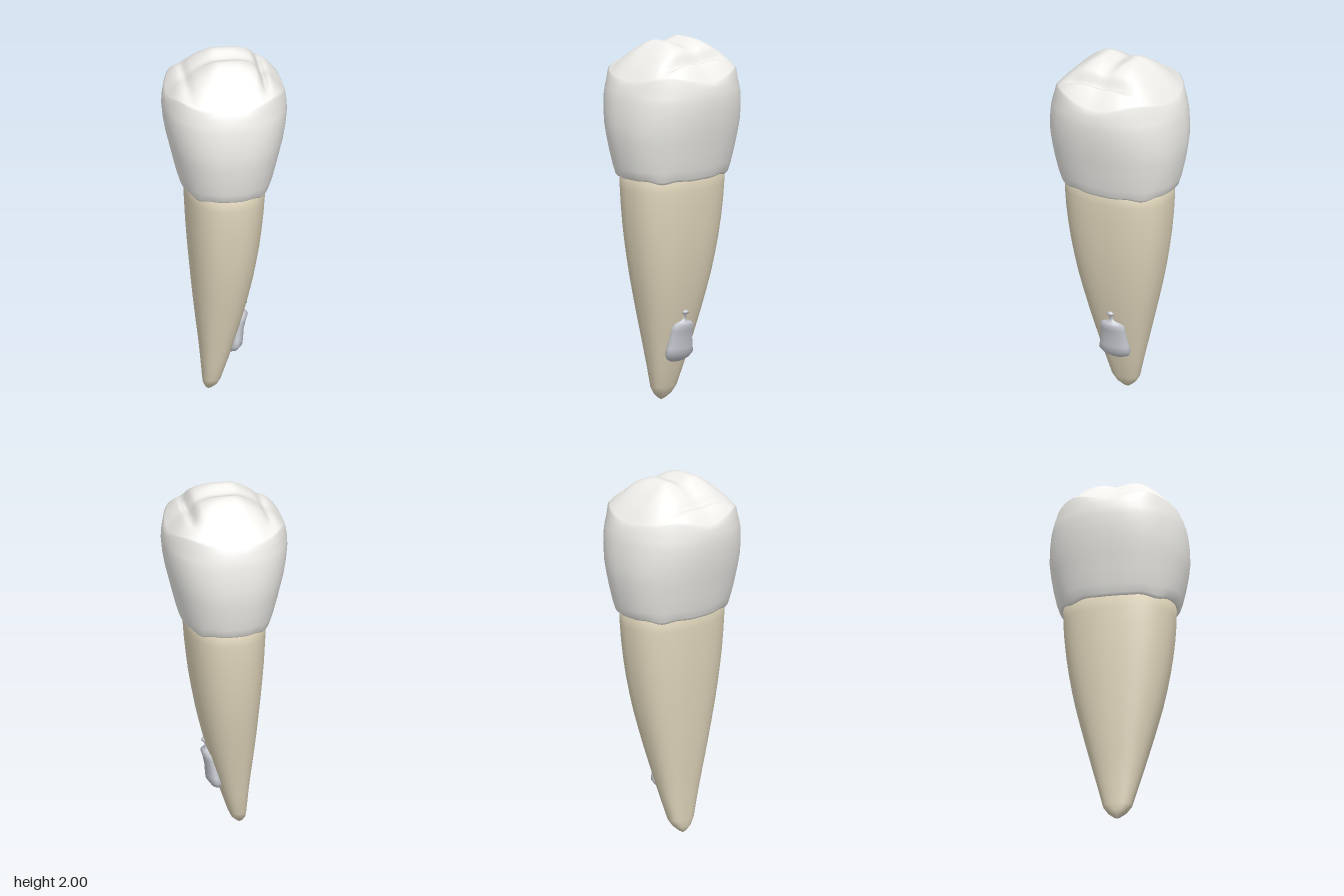
import * as THREE from 'three';

const SEGMENTS = 72;

// Unit superellipse point, slightly squarer than an ellipse
function outline(a, n) {
  const c = Math.cos(a), s = Math.sin(a);
  return [Math.sign(c) * Math.abs(c) ** (2 / n), Math.sign(s) * Math.abs(s) ** (2 / n)];
}

// Joins rings (listed upwards) into one smooth skin; point(ring, angle) gives [x, y, z]
function loft(name, rings, point, color) {
  const positions = [], index = [];
  rings.forEach((ring, i) => {
    for (let j = 0; j < SEGMENTS; j++) {
      positions.push(...point(ring, (j / SEGMENTS) * Math.PI * 2));
      if (i === rings.length - 1) continue;
      const a = i * SEGMENTS + j, b = i * SEGMENTS + (j + 1) % SEGMENTS;
      index.push(a, a + SEGMENTS, b, b, a + SEGMENTS, b + SEGMENTS);
    }
  });
  const geometry = new THREE.BufferGeometry();
  geometry.setAttribute('position', new THREE.Float32BufferAttribute(positions, 3));
  geometry.setIndex(index);
  geometry.computeVertexNormals();
  const mesh = new THREE.Mesh(geometry, new THREE.MeshStandardMaterial({ color }));
  mesh.name = name;
  return mesh;
}

// Smooth curve through [position, value] pairs
function profile(pairs, t) {
  let k = 0;
  while (k < pairs.length - 2 && t > pairs[k + 1][0]) k++;
  const slope = (i) => {
    const p = pairs[Math.max(i - 1, 0)], q = pairs[Math.min(i + 1, pairs.length - 1)];
    return (q[1] - p[1]) / (q[0] - p[0]);
  };
  const [x0, y0] = pairs[k], [x1, y1] = pairs[k + 1], d = x1 - x0;
  const u = THREE.MathUtils.clamp((t - x0) / d, 0, 1), v = 1 - u;
  return y0 * v * v * (1 + 2 * u) + y1 * u * u * (1 + 2 * v) + d * u * v * (slope(k) * v - slope(k + 1) * u);
}

// Chewing surface: how far it falls below the top, across x and along z
const ACROSS = [[-0.33, 0.21], [-0.27, 0.138], [-0.2, 0.092], [-0.13, 0.042], [-0.05, 0.002], [0.05, 0.002],
  [0.13, 0.024], [0.2, 0.068], [0.27, 0.135], [0.33, 0.21]];
const ALONG = [[-0.34, 0.205], [-0.26, 0.115], [-0.18, 0.045], [-0.09, 0], [0, 0.025],
  [0.09, 0], [0.18, 0.045], [0.26, 0.115], [0.34, 0.205]];

function crownTop(x, z) {
  const a = Math.max(profile(ACROSS, x), 0), b = Math.max(profile(ALONG, z), 0);
  const fade = 1 - THREE.MathUtils.smoothstep(Math.abs(z - 0.02), 0.13, 0.26);
  const groove = (at, depth, width) => depth * Math.exp(-(((x - at) / width) ** 2));
  return 2 - (a ** 1.6 + b ** 1.6) ** (1 / 1.6) - fade * (groove(0.198, 0.042, 0.022) + groove(-0.215, 0.014, 0.02));
}

function createCrown() {
  // Wall rings: [y, half width x, half depth z, margin waviness]
  const rings = [
    [1.3, 0.19, 0.27, 0], [1.272, 0.214, 0.3, 1], [1.258, 0.232, 0.311, 1], [1.272, 0.243, 0.327, 0.8],
    [1.32, 0.258, 0.341, 0.2], [1.4, 0.278, 0.358, 0], [1.48, 0.297, 0.371, 0], [1.55, 0.314, 0.378, 0],
    [1.63, 0.328, 0.375, 0], [1.7, 0.335, 0.367, 0], [1.74, 0.334, 0.358, 0], [1.775, 0.33, 0.347, 0],
  ].map(([y, rx, rz, wave]) => ({ y, rx, rz, wave }));
  for (let i = 0; i <= 36; i++) rings.push({ rx: 0.324, rz: 0.336, top: 1 - i / 36 });

  return loft('crown', rings, (r, a) => {
    const [u, v] = outline(a, 2.3);
    if (r.top === undefined) {
      const margin = r.wave * (0.008 * Math.sin(a) ** 8 - 0.009 * Math.cos(8 * a) * Math.sin(2 * a) ** 2);
      return [u * r.rx, r.y + margin, v * r.rz];
    }
    const x = u * r.rx * r.top, z = v * r.rz * r.top;
    return [x, crownTop(x, z), z];
  }, 0xf0efeb);
}

function createRoot() {
  // Rings: [y, left edge x, right edge x, half depth z]
  const rings = [
    [0, -0.086, -0.086, 0], [0.012, -0.101, -0.066, 0.02], [0.04, -0.115, -0.038, 0.052], [0.08, -0.119, -0.019, 0.079],
    [0.2, -0.129, 0.021, 0.11], [0.3, -0.139, 0.05, 0.137], [0.4, -0.151, 0.079, 0.163], [0.5, -0.162, 0.106, 0.189],
    [0.6, -0.172, 0.13, 0.214], [0.7, -0.181, 0.152, 0.238], [0.8, -0.19, 0.17, 0.258], [0.9, -0.198, 0.186, 0.275],
    [1, -0.205, 0.198, 0.289], [1.1, -0.21, 0.208, 0.299], [1.2, -0.215, 0.215, 0.305], [1.35, -0.217, 0.218, 0.306],
    [1.35, 0, 0, 0],
  ];
  return loft('root', rings, ([y, left, right, rz], a) => {
    const [u, v] = outline(a, 2.4);
    return [(left + right) / 2 + u * (right - left) / 2, y, v * rz];
  }, 0xe3d8bd);
}

// Inner canal whose lower end shows through the side of the root
function createCanal() {
  // Rings: [y, centre x, half width x, half depth z]
  const rings = [
    [0.23, 0.03, 0, 0], [0.232, 0.032, 0.02, 0.04], [0.25, 0.044, 0.034, 0.075], [0.28, 0.056, 0.043, 0.094],
    [0.31, 0.06, 0.042, 0.088], [0.36, 0.067, 0.039, 0.078], [0.41, 0.076, 0.041, 0.074], [0.44, 0.082, 0.045, 0.072],
    [0.453, 0.08, 0.037, 0.055], [0.465, 0.075, 0.03, 0.025], [0.49, 0.075, 0.032, 0.012], [0.507, 0.083, 0.042, 0.033],
    [0.515, 0.083, 0.04, 0.026], [0.53, 0.075, 0.03, 0.012], [0.6, 0.06, 0.03, 0.03], [0.9, 0.03, 0.04, 0.06],
    [1.3, 0, 0.08, 0.11], [1.5, 0, 0.1, 0.13], [1.58, 0, 0, 0],
  ];
  return loft('canal', rings, ([y, cx, rx, rz], a) => {
    const [u, v] = outline(a, 2);
    return [cx + u * rx, y, v * rz];
  }, 0xc4c7ce);
}

export function createModel() {
  const tooth = new THREE.Group();
  tooth.name = 'tooth';
  tooth.add(createCrown(), createRoot(), createCanal());
  return tooth;
}
